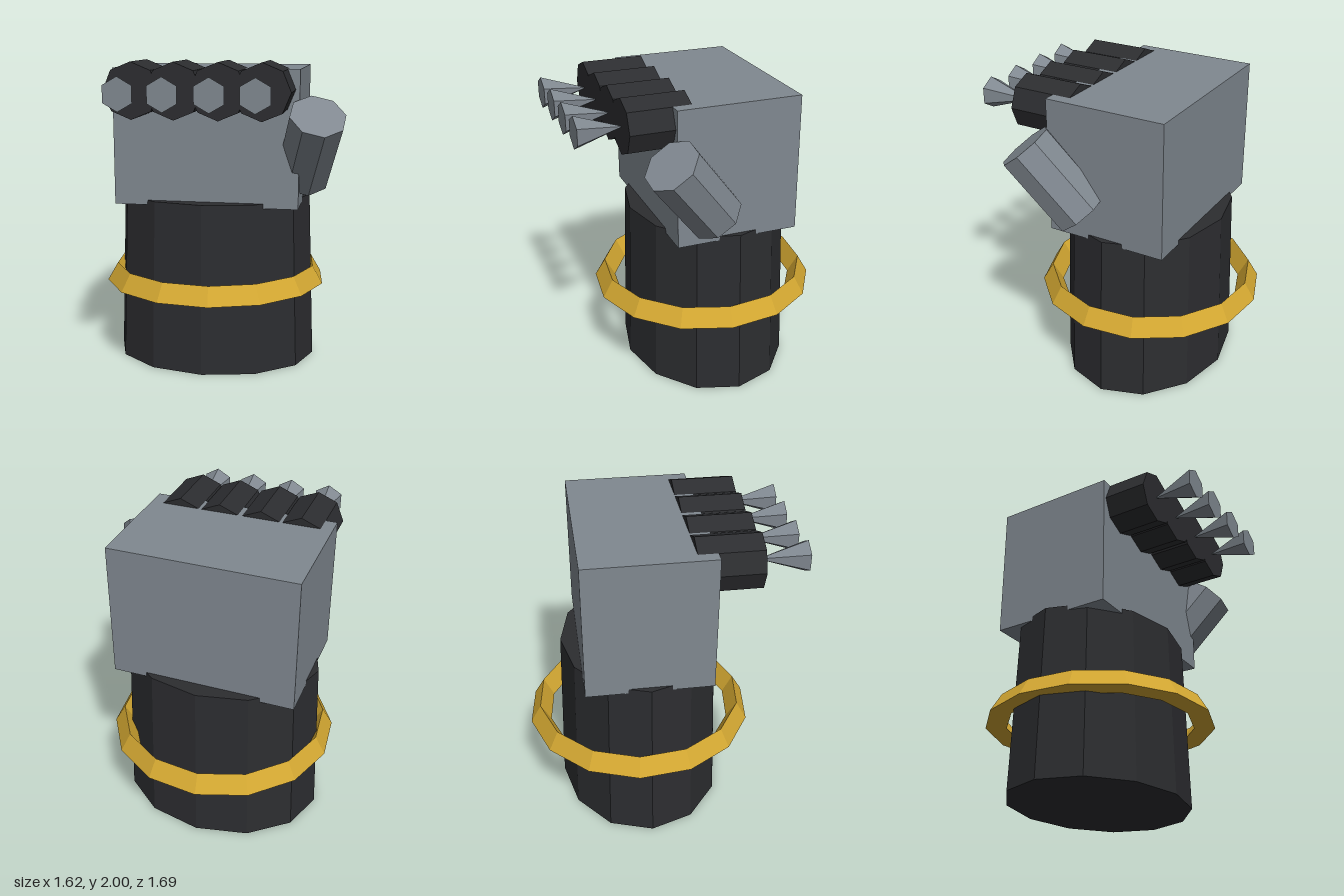
import * as THREE from 'three';

const paint = (color) => new THREE.MeshStandardMaterial({ color, flatShading: true });

export function createModel() {
  const model = new THREE.Group();
  model.name = 'clawedGauntlet';
  const dark = paint(0x2c2d30);
  const steel = paint(0x808890);
  const gold = paint(0xd4a832);

  const add = (name, geometry, material, x, y, z, parent = model) => {
    const mesh = new THREE.Mesh(geometry, material);
    mesh.name = name;
    mesh.position.set(x, y, z);
    parent.add(mesh);
    return mesh;
  };

  // Oval tapered cuff
  const cuff = add('cuff', new THREE.CylinderGeometry(0.635, 0.675, 1.11, 12), dark, -0.08, 0.555, -0.105);
  cuff.scale.z = 0.8;

  // Ring with a triangular cross-section around the cuff
  const section = [[0.742, 0], [0.674, 0.117], [0.606, 0], [0.742, 0]].map(([r, y]) => new THREE.Vector2(r, y));
  add('cuffRing', new THREE.LatheGeometry(section, 14, 0.108), gold, -0.08, 0.52, -0.107);

  // Fist block
  add('fist', new THREE.BoxGeometry(1.185, 0.87, 0.79), steel, -0.078, 1.515, -0.105);

  // Four knuckles, each with a claw that flares forward
  const knuckleGeometry = new THREE.CylinderGeometry(0.173, 0.173, 0.395, 8).rotateX(Math.PI / 2);
  const clawGeometry = new THREE.ConeGeometry(0.101, 0.295, 6).rotateX(-Math.PI / 2);
  [-0.475, -0.215, 0.055, 0.316].forEach((x, i) => {
    const finger = new THREE.Group();
    finger.name = `finger${i + 1}`;
    finger.position.set(x, 1.827, 0);
    model.add(finger);
    add('knuckle', knuckleGeometry, dark, 0, 0, 0.3675, finger);
    add('claw', clawGeometry, steel, 0, 0, 0.6975, finger);
  });

  // Thumb leaning forward and outward
  const thumb = add('thumb', new THREE.CylinderGeometry(0.178, 0.178, 0.533, 8, 1, false, 0.297), steel, 0.575, 1.47, 0.212);
  thumb.rotation.set(0.66, 0, -0.216);

  return model;
}
